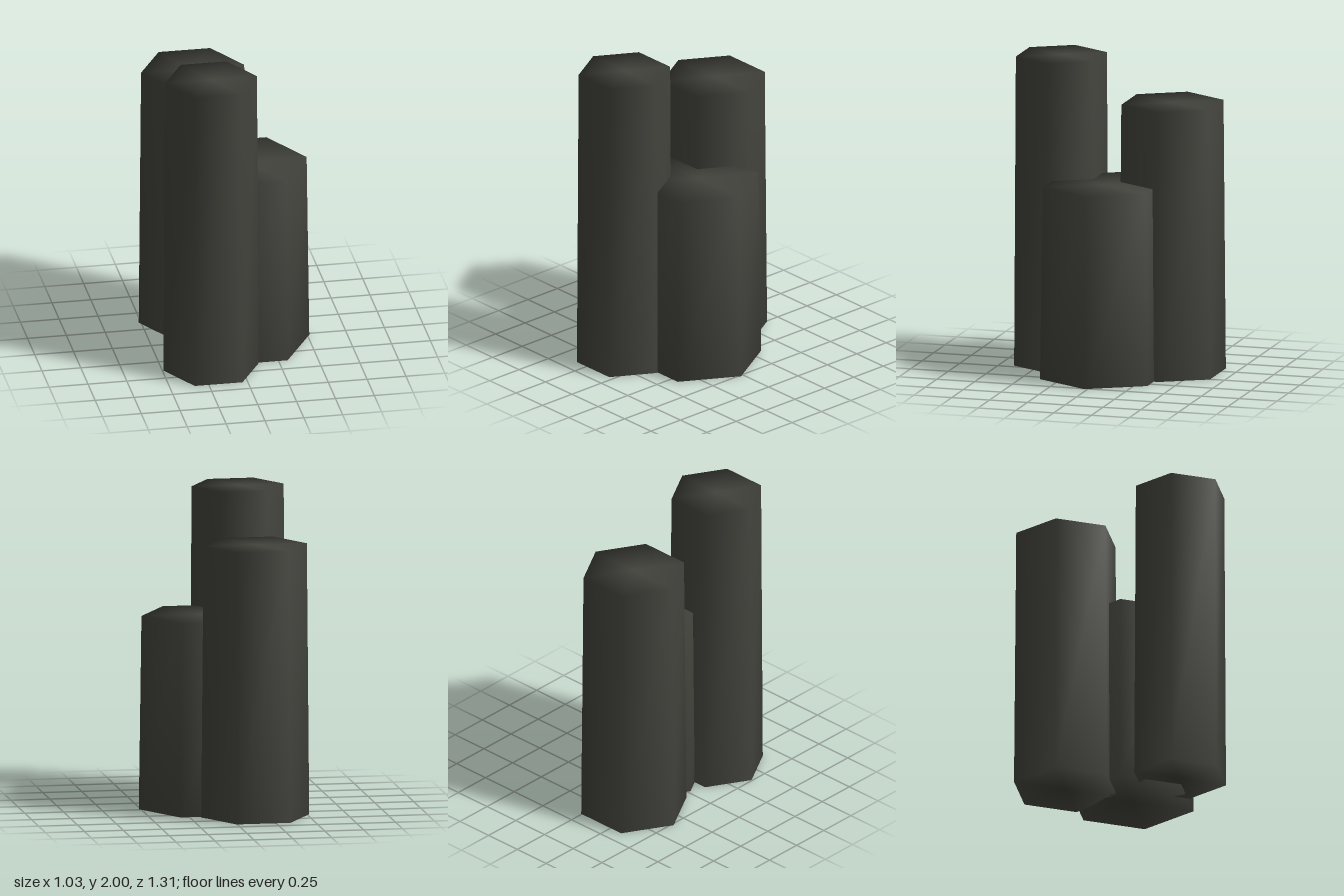
import * as THREE from 'three';
import { mergeVertices } from 'three/addons/utils/BufferGeometryUtils.js';

const stone = new THREE.MeshStandardMaterial({ color: 0x44443e });
stone.name = 'dark basalt';

// Slightly tapered six-sided column, with normals blended over all its edges
function column(name, x, z, topRadius, bottomRadius, height) {
  let geometry = new THREE.CylinderGeometry(topRadius, bottomRadius, height, 6, 1, false, Math.PI / 2);
  geometry.deleteAttribute('normal');
  geometry.deleteAttribute('uv');
  geometry.clearGroups();
  geometry = mergeVertices(geometry, 1e-4);
  geometry.computeVertexNormals();
  const mesh = new THREE.Mesh(geometry, stone);
  mesh.name = name;
  mesh.position.set(x, height / 2, z);
  return mesh;
}

export function createModel() {
  const group = new THREE.Group();
  group.name = 'basaltColumns';
  group.add(
    column('tallColumn', -0.187, 0.385, 0.296, 0.307, 2),
    column('middleColumn', -0.168, -0.355, 0.332, 0.347, 1.74),
    column('shortColumn', 0.103, 0.021, 0.393, 0.41, 1.24),
  );
  return group;
}
